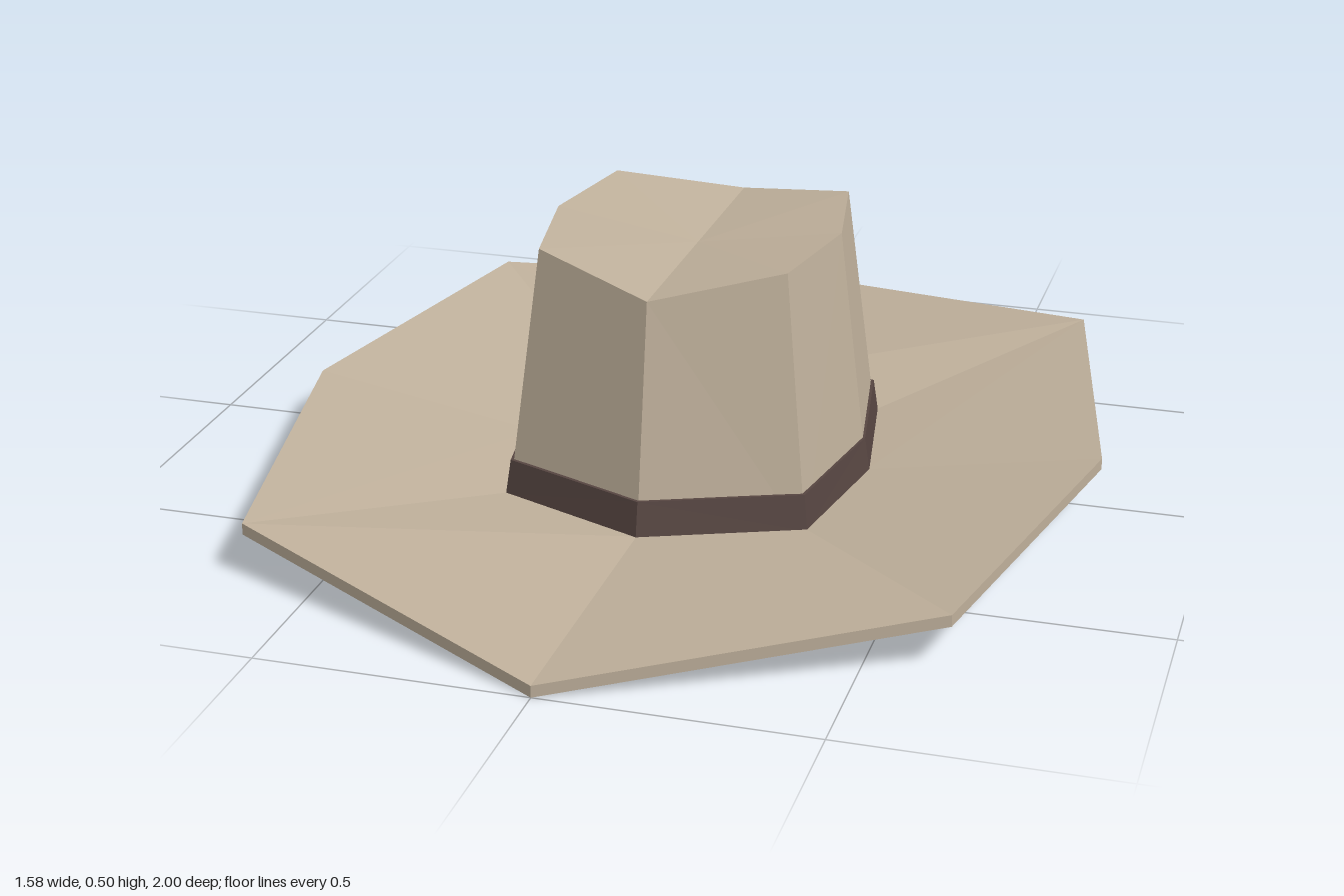
import * as THREE from 'three';

const felt = new THREE.MeshStandardMaterial({ color: 0xbfb09b, flatShading: true, side: THREE.DoubleSide });
felt.name = 'tan felt';
const ribbon = new THREE.MeshStandardMaterial({ color: 0x564541, flatShading: true, side: THREE.DoubleSide });
ribbon.name = 'dark brown ribbon';

// Eight-sided ring, starting at the front tip and turning towards +x.
// side: x of the side points, tip: z of the front and back points,
// cx, cz: the four corners, y: height of sides and corners, tipY: height of the tips
function ring(side, tip, cx, cz, y, tipY = y) {
  return [
    [0, tipY, tip], [cx, y, cz], [side, y, 0], [cx, y, -cz],
    [0, tipY, -tip], [-cx, y, -cz], [-side, y, 0], [-cx, y, cz],
  ];
}

// Join successive rings with flat facets
function loft(name, rings, material) {
  const pos = [];
  for (let r = 0; r < rings.length - 1; r++) {
    for (let i = 0; i < 8; i++) {
      const j = (i + 1) % 8;
      const a = rings[r][i], b = rings[r][j], c = rings[r + 1][j], d = rings[r + 1][i];
      // mirror the diagonal so both halves match
      if (i % 2) pos.push(...a, ...b, ...c, ...a, ...c, ...d);
      else pos.push(...a, ...b, ...d, ...b, ...c, ...d);
    }
  }
  const geometry = new THREE.BufferGeometry();
  geometry.setAttribute('position', new THREE.Float32BufferAttribute(pos, 3));
  geometry.computeVertexNormals();
  const mesh = new THREE.Mesh(geometry, material);
  mesh.name = name;
  return mesh;
}

export function createModel() {
  const hat = new THREE.Group();
  hat.name = 'hat';

  // Brim: thin, with upturned sides and an open centre
  hat.add(loft('brim', [
    ring(0.34, 0.41, 0.29, 0.292, 0),
    ring(0.79, 1, 0.645, 0.708, 0.078, 0),
    ring(0.79, 1, 0.645, 0.708, 0.1, 0.022),
    ring(0.34, 0.41, 0.29, 0.292, 0.022),
  ], felt));

  // Crown: hollow, tapering, with a lengthwise crease in the top
  const crownTop = ring(0.28, 0.335, 0.237, 0.24, 0.5, 0.455);
  hat.add(loft('crown', [ring(0.34, 0.41, 0.29, 0.292, 0), crownTop], felt));

  const centre = [0, 0.455, 0];
  const topPoints = [];
  for (let i = 0; i < 8; i++) topPoints.push(...crownTop[i], ...crownTop[(i + 1) % 8], ...centre);
  const topGeometry = new THREE.BufferGeometry();
  topGeometry.setAttribute('position', new THREE.Float32BufferAttribute(topPoints, 3));
  topGeometry.computeVertexNormals();
  const top = new THREE.Mesh(topGeometry, felt);
  top.name = 'creasedTop';
  hat.add(top);

  // Ribbon around the foot of the crown
  hat.add(loft('hatBand', [
    ring(0.344, 0.415, 0.294, 0.296, 0.02),
    ring(0.334, 0.402, 0.286, 0.287, 0.088),
    ring(0.328, 0.395, 0.28, 0.282, 0.088),
  ], ribbon));

  return hat;
}
